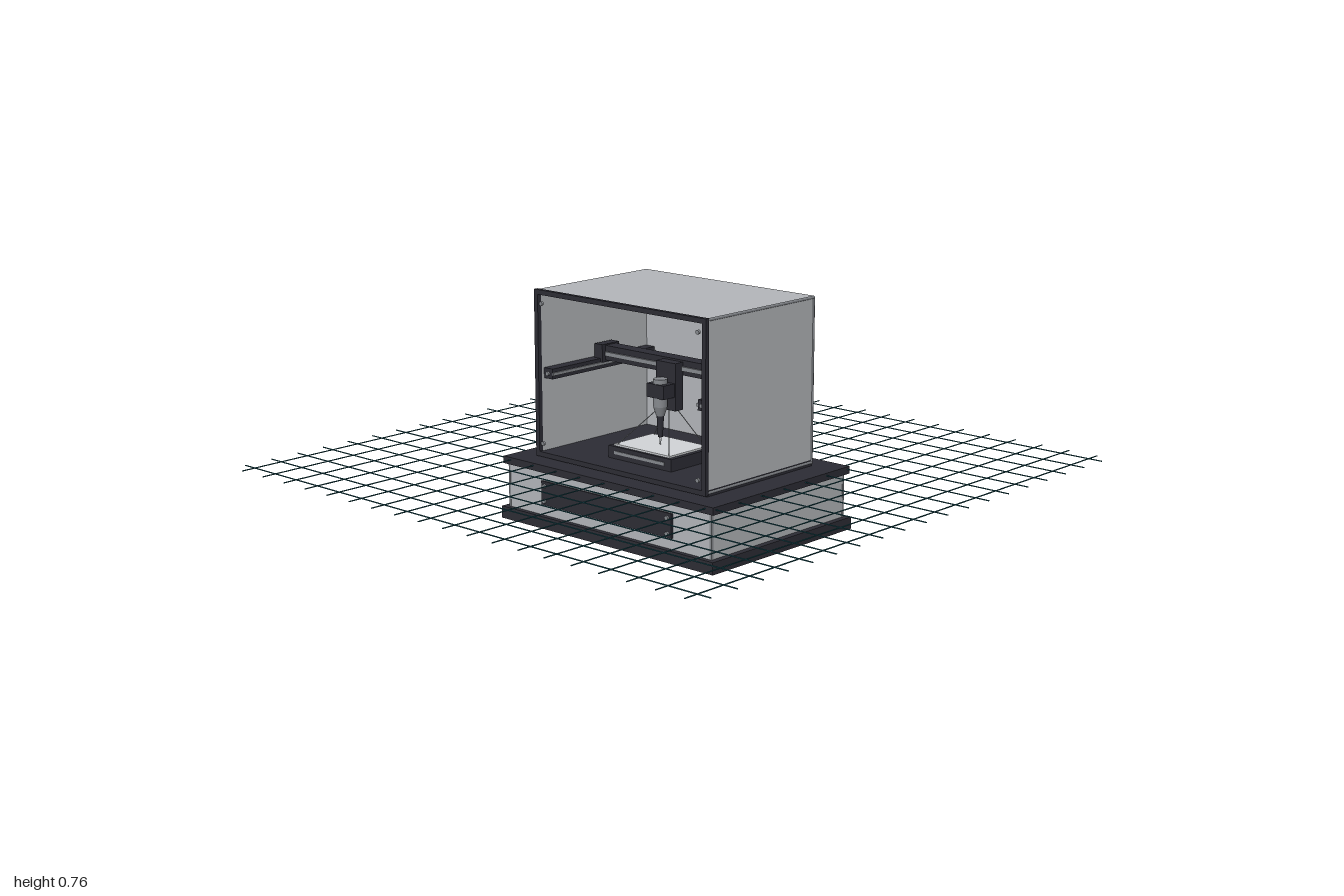
import * as THREE from 'three';

const mat = (name, color) => {
  const m = new THREE.MeshStandardMaterial({ color });
  m.name = name;
  return m;
};

export function createModel() {
  const root = new THREE.Group();
  root.name = 'desktopMill';
  const shell = mat('shell grey', 0xb2b5b9);
  const dark = mat('charcoal', 0x2c2c34);
  const trim = mat('trim grey', 0x85888d);
  const metal = mat('light metal', 0xd0d3d6);
  const teal = mat('grid teal', 0x1b5660);

  const add = (name, geo, m, x = 0, y = 0, z = 0, parent = root) => {
    const mesh = new THREE.Mesh(geo, m);
    mesh.name = name;
    mesh.position.set(x, y, z);
    parent.add(mesh);
    return mesh;
  };
  // box given by its min and max on each axis
  const box = (name, m, x0, x1, y0, y1, z0, z1, parent) =>
    add(name, new THREE.BoxGeometry(x1 - x0, y1 - y0, z1 - z0), m,
      (x0 + x1) / 2, (y0 + y1) / 2, (z0 + z1) / 2, parent);
  const rod = (name, m, a, b, r) => {
    const p = new THREE.Vector3(...a), q = new THREE.Vector3(...b);
    const mesh = add(name, new THREE.CylinderGeometry(r, r, p.distanceTo(q), 8), m);
    mesh.position.copy(p).lerp(q, 0.5);
    mesh.quaternion.setFromUnitVectors(new THREE.Vector3(0, 1, 0), q.sub(p).normalize());
  };
  const screw = (x, y, z) => {
    const s = add('screw', new THREE.CylinderGeometry(0.007, 0.007, 0.008, 12), trim, x, y, z);
    s.rotation.x = Math.PI / 2;
  };

  // floor grid at table height
  const grid = new THREE.Group();
  grid.name = 'floorGrid';
  root.add(grid);
  for (let k = -9; k <= 9; k++) {
    const p = k * 0.1056;
    add('gridLineZ', new THREE.BoxGeometry(0.003, 0.003, 2), teal, p, 0.2, 0, grid);
    add('gridLineX', new THREE.BoxGeometry(2, 0.003, 0.003), teal, 0, 0.2, p, grid);
  }

  // base cabinet
  box('bottomPlate', dark, -0.46, 0.46, 0, 0.04, -0.335, 0.335);
  box('baseBody', shell, -0.44, 0.44, 0.04, 0.185, -0.318, 0.318);
  box('topPlate', dark, -0.455, 0.455, 0.184, 0.208, -0.328, 0.328);
  box('frontPanel', dark, -0.284, 0.282, 0.076, 0.155, 0.318, 0.325);
  for (const x of [-0.268, 0.266]) for (const y of [0.09, 0.14]) screw(x, y, 0.328);
  for (const x of [-0.437, 0.437]) for (const z of [-0.315, 0.315])
    box('baseCorner', trim, x - 0.004, x + 0.004, 0.04, 0.184, z - 0.004, z + 0.004);

  // enclosure, open at the front
  box('enclosureFloor', dark, -0.362, 0.362, 0.208, 0.228, -0.25, 0.25);
  box('roof', shell, -0.362, 0.362, 0.748, 0.759, -0.253, 0.25);
  box('backWall', shell, -0.362, 0.362, 0.215, 0.75, -0.253, -0.242);
  for (const s of [-1, 1])
    add('sideWall', new THREE.BoxGeometry(0.011, 0.535, 0.5), shell, s * 0.3565, 0.4825, 0);

  // slim rods along the enclosure edges
  for (const s of [-1, 1]) {
    rod('backEdge', trim, [s * 0.36, 0.215, -0.25], [s * 0.36, 0.757, -0.25], 0.005);
    rod('topSideEdge', trim, [s * 0.36, 0.755, -0.25], [s * 0.36, 0.755, 0.25], 0.005);
    rod('lowerSideEdge', trim, [s * 0.36, 0.22, -0.25], [s * 0.36, 0.22, 0.25], 0.005);
  }
  rod('topBackEdge', trim, [-0.36, 0.755, -0.25], [0.36, 0.755, -0.25], 0.005);
  rod('lowerBackEdge', trim, [-0.36, 0.22, -0.25], [0.36, 0.22, -0.25], 0.005);

  // front frame
  const rect = (S, x, y0, y1) => {
    const s = new S();
    s.moveTo(-x, y0); s.lineTo(x, y0); s.lineTo(x, y1); s.lineTo(-x, y1); s.closePath();
    return s;
  };
  const outline = rect(THREE.Shape, 0.367, 0.213, 0.761);
  outline.holes.push(rect(THREE.Path, 0.351, 0.229, 0.745));
  add('frontFrame', new THREE.ExtrudeGeometry(outline, { depth: 0.015, bevelEnabled: false }),
    dark, 0, 0, 0.25);
  for (const x of [-0.335, 0.335]) for (const y of [0.258, 0.717]) screw(x, y, 0.264);

  // gantry: side rails and cross beam
  for (const s of [-1, 1]) {
    add('sideRail', new THREE.BoxGeometry(0.038, 0.034, 0.48), dark, s * 0.332, 0.486, 0);
    add('railGroove', new THREE.BoxGeometry(0.006, 0.01, 0.48), trim, s * 0.311, 0.486, 0);
    screw(s * 0.332, 0.486, 0.243);
    add('beamCarriage', new THREE.BoxGeometry(0.035, 0.06, 0.08), dark, s * 0.322, 0.52, -0.02);
  }
  box('crossBeam', dark, -0.335, 0.335, 0.497, 0.546, -0.045, 0.005);
  box('beamRail', trim, -0.3, 0.3, 0.512, 0.526, 0.005, 0.012);

  // tool head
  box('toolCarriage', dark, -0.045, 0.038, 0.385, 0.54, 0.005, 0.04);
  box('toolClamp', dark, -0.04, 0.034, 0.43, 0.475, 0.04, 0.09);
  const cyl = (name, m, rt, rb, y0, y1) =>
    add(name, new THREE.CylinderGeometry(rt, rb, y1 - y0, 20), m, -0.004, (y0 + y1) / 2, 0.065);
  cyl('spindleMotor', trim, 0.023, 0.023, 0.4, 0.49);
  cyl('spindleNose', trim, 0.023, 0.014, 0.37, 0.4);
  cyl('collet', dark, 0.012, 0.008, 0.3, 0.37);
  cyl('cutter', metal, 0.004, 0.002, 0.275, 0.3);

  // work bed
  box('bedBase', dark, -0.138, 0.135, 0.228, 0.268, -0.035, 0.165);
  box('bedTop', metal, -0.122, 0.119, 0.268, 0.274, -0.025, 0.155);
  box('bedSlot', trim, -0.11, 0.107, 0.244, 0.254, 0.165, 0.168);

  // camera with its sight lines to the bed
  box('cameraBody', metal, -0.115, -0.058, 0.408, 0.462, -0.09, -0.045);
  box('cameraArm', trim, -0.095, -0.045, 0.462, 0.5, -0.075, -0.045);
  add('cameraLens', new THREE.CylinderGeometry(0.014, 0.018, 0.022, 16), metal, -0.087, 0.397, -0.067);
  for (const x of [-0.11, 0.112]) for (const z of [-0.02, 0.15])
    rod('sightLine', trim, [-0.087, 0.388, -0.067], [x, 0.274, z], 0.0015);

  // ringed ball on the side wall
  const ball = new THREE.Group();
  ball.name = 'ringedBall';
  ball.position.set(-0.4, 0.664, -0.1);
  ball.rotation.z = -0.25;
  root.add(ball);
  add('ball', new THREE.SphereGeometry(0.036, 24, 16), metal, 0, 0, 0, ball);
  const ring = add('ring', new THREE.TorusGeometry(0.052, 0.004, 8, 32), trim, 0, 0, 0, ball);
  ring.rotation.x = Math.PI / 2 - 0.3;

  return root;
}
